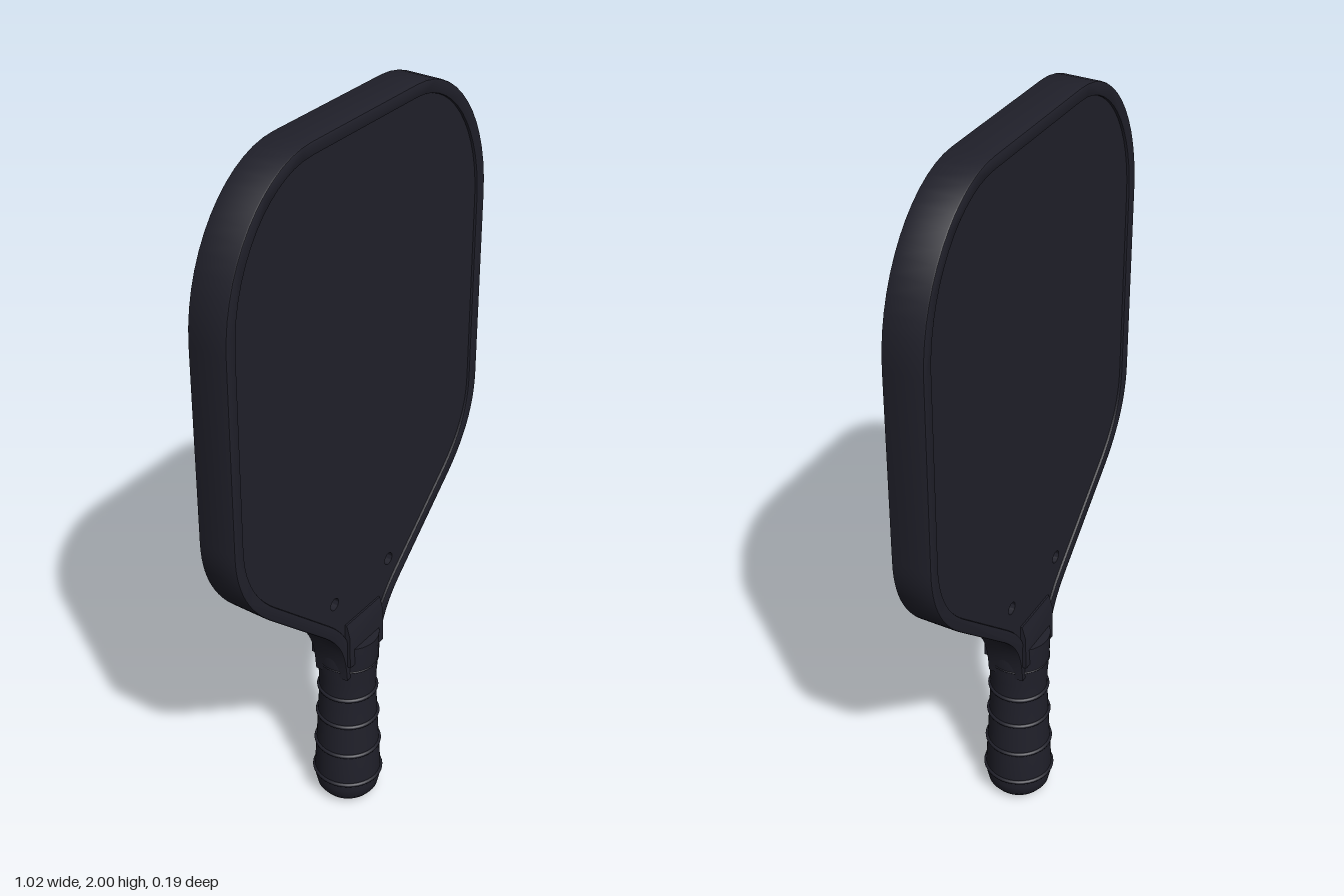
import * as THREE from 'three';
import { toCreasedNormals } from 'three/addons/utils/BufferGeometryUtils.js';

const bodyMat = new THREE.MeshStandardMaterial({ color: 0x20202a });
bodyMat.name = 'dark navy';

function part(name, geometry) {
  const mesh = new THREE.Mesh(geometry, bodyMat);
  mesh.name = name;
  return mesh;
}

// Right half of the paddle outline from top to neck, mirrored to a clockwise loop
function paddleOutline() {
  const half = new THREE.Path();
  half.moveTo(0.2, 2);
  half.bezierCurveTo(0.37, 2, 0.51, 1.83, 0.51, 1.62);
  half.lineTo(0.51, 1.11);
  half.bezierCurveTo(0.51, 1.0, 0.46, 0.92, 0.39, 0.855);
  half.lineTo(0.17, 0.655);
  half.bezierCurveTo(0.1, 0.59, 0.08, 0.54, 0.074, 0.45);
  const right = half.getPoints(14);
  const left = right.map((p) => new THREE.Vector2(-p.x, p.y)).reverse();
  return [...right, ...left];
}

// Moves each point of a clockwise loop inwards by distance d
function inset(points, d) {
  const n = points.length;
  return points.map((p, i) => {
    const a = p.clone().sub(points[(i + n - 1) % n]).normalize();
    const b = points[(i + 1) % n].clone().sub(p).normalize();
    const normal = new THREE.Vector2(a.y + b.y, -a.x - b.x).normalize();
    const stretch = Math.max(0.5, normal.x * a.y - normal.y * a.x);
    return p.clone().addScaledVector(normal, d / stretch);
  });
}

function extrudeCentred(shape, depth, bevel) {
  const geometry = new THREE.ExtrudeGeometry(shape, {
    depth: depth - 2 * bevel, curveSegments: 20,
    bevelEnabled: bevel > 0, bevelSize: bevel, bevelThickness: bevel,
    bevelOffset: -bevel, bevelSegments: 2,
  });
  geometry.translate(0, 0, -depth / 2 + bevel);
  return toCreasedNormals(geometry, 0.6);
}

export function createModel() {
  const group = new THREE.Group();
  group.name = 'paddle';
  const outline = paddleOutline();

  // Raised edge guard around the hitting face
  const rim = new THREE.Shape(outline);
  rim.holes.push(new THREE.Path(inset(outline, 0.033).reverse()));
  group.add(part('edgeGuard', extrudeCentred(rim, 0.104, 0.004)));

  // Flat hitting face with two through holes
  const face = new THREE.Shape(inset(outline, 0.026));
  for (const side of [-1, 1]) {
    const hole = new THREE.Path();
    hole.absarc(side * 0.12, 0.73, 0.017, 0, Math.PI * 2, false);
    face.holes.push(hole);
  }
  group.add(part('hittingFace', extrudeCentred(face, 0.09, 0)));

  // Wedge at the throat, sloping from the grip to the face
  const wedge = new THREE.Shape([
    [-0.062, 0.5], [0.062, 0.5], [0.06, 0.6], [0.05, 0.635], [-0.05, 0.635], [-0.06, 0.6],
  ].map(([z, y]) => new THREE.Vector2(z, y)));
  const wedgeGeometry = extrudeCentred(wedge, 0.15, 0);
  wedgeGeometry.rotateY(-Math.PI / 2);
  group.add(part('throatWedge', wedgeGeometry));

  // Tapered grip with a rounded butt and a wider collar on top
  const profile = [
    [0, 0], [0.05, 0.003], [0.072, 0.012], [0.084, 0.028], [0.09, 0.055], [0.091, 0.09],
    [0.086, 0.18], [0.081, 0.28], [0.077, 0.37], [0.078, 0.42], [0.082, 0.47],
    [0.084, 0.55], [0, 0.55],
  ].map(([r, y]) => new THREE.Vector2(r, y));
  const grip = part('grip', toCreasedNormals(new THREE.LatheGeometry(profile, 40), 0.7));
  grip.scale.x = 0.98;
  group.add(grip);

  // Wrapped tape ridges
  [[0.08, 0.091], [0.18, 0.086], [0.28, 0.081], [0.37, 0.077], [0.47, 0.081]].forEach(([y, r], i) => {
    const ridge = part('gripRidge' + (i + 1), new THREE.TorusGeometry(r, i < 4 ? 0.006 : 0.003, 8, 40));
    ridge.rotation.x = Math.PI / 2;
    ridge.scale.x = 0.98;
    ridge.position.y = y;
    group.add(ridge);
  });

  return group;
}
